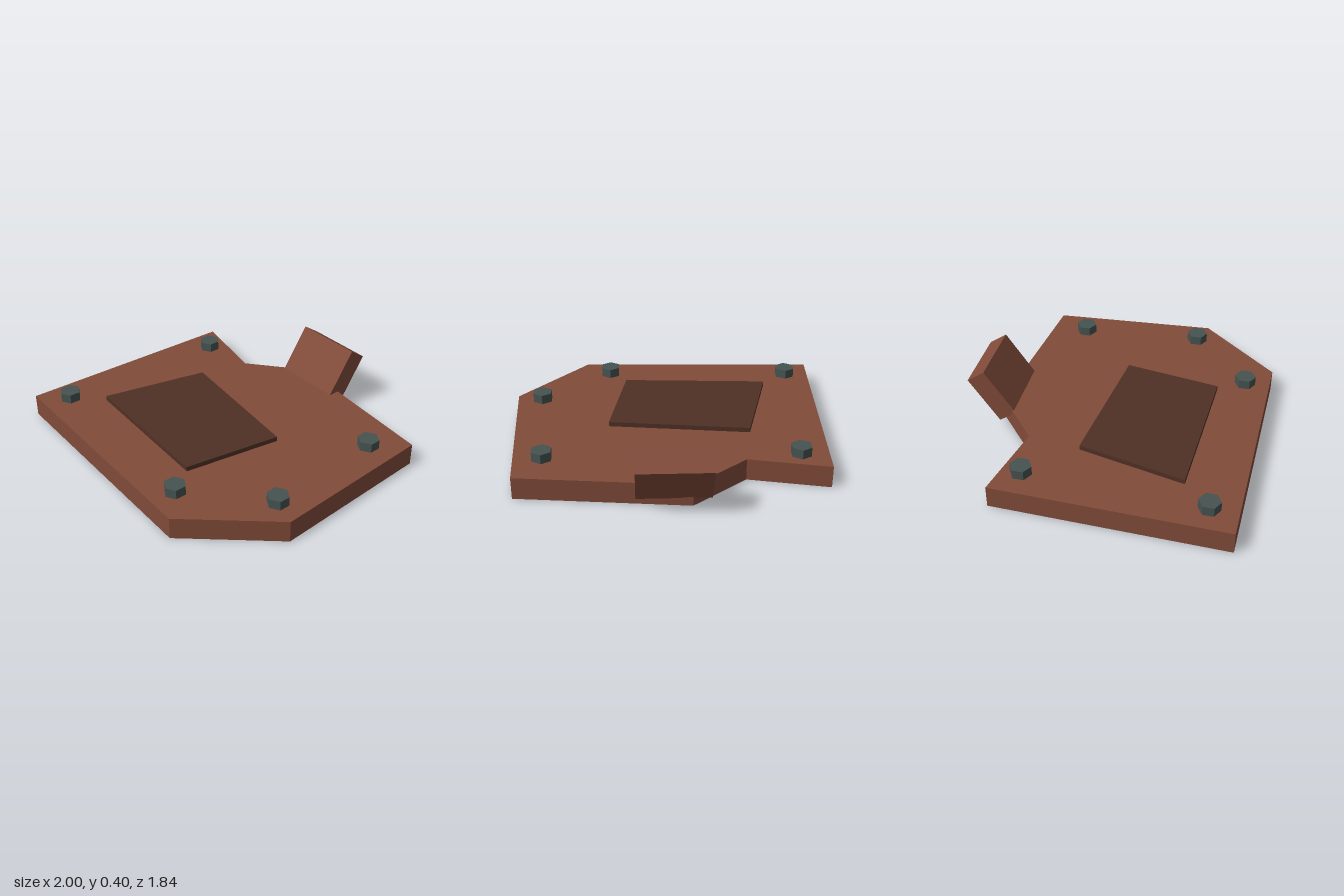
import * as THREE from 'three';

const plateBrown = new THREE.MeshStandardMaterial({ name: 'rust brown', color: 0x804b39 });
const panelBrown = new THREE.MeshStandardMaterial({ name: 'dark brown', color: 0x4f3025 });
const boltGrey = new THREE.MeshStandardMaterial({ name: 'blue grey steel', color: 0x455351 });

const PLATE_TOP = 0.14;

// Flat slab from an outline of [x, z] points, between two heights
function slab(name, outline, bottom, top, material) {
  const shape = new THREE.Shape(outline.map(([x, z]) => new THREE.Vector2(x, z)));
  const geometry = new THREE.ExtrudeGeometry(shape, { depth: top - bottom, bevelEnabled: false });
  geometry.rotateX(Math.PI / 2).translate(0, top, 0);
  const mesh = new THREE.Mesh(geometry, material);
  mesh.name = name;
  return mesh;
}

export function createModel() {
  const model = new THREE.Group();
  model.name = 'boltedScrapPlate';

  // Irregular base plate with a notch in the back edge
  model.add(slab('basePlate', [
    [-0.945, -0.57], [-0.445, -0.464], [-0.11, -0.739], [0.94, -0.628],
    [1, 0.425], [0.555, 0.922], [-1, 0.869],
  ], 0, PLATE_TOP, plateBrown));

  // Raised dark patch
  model.add(slab('patchPanel', [
    [-0.5, -0.131], [0.385, -0.02], [0.278, 0.59], [-0.665, 0.535],
  ], PLATE_TOP, 0.17, panelBrown));

  // Bent tab leaning backwards
  const tab = new THREE.Mesh(new THREE.BoxGeometry(0.444, 0.34, 0.133), plateBrown);
  tab.name = 'bentTab';
  tab.position.set(0, 0.226, -0.771);
  tab.rotation.x = -0.6;
  model.add(tab);

  // Hexagonal bolt heads
  const boltGeometry = new THREE.CylinderGeometry(0.067, 0.067, 0.06, 6).toNonIndexed();
  boltGeometry.computeVertexNormals();
  const bolts = new THREE.Group();
  bolts.name = 'bolts';
  for (const [x, z] of [[-0.778, -0.41], [0.778, -0.41], [0.833, 0.37], [0.389, 0.757], [-0.833, 0.702]]) {
    const bolt = new THREE.Mesh(boltGeometry, boltGrey);
    bolt.name = 'bolt';
    bolt.position.set(x, PLATE_TOP + 0.03, z);
    bolts.add(bolt);
  }
  model.add(bolts);

  return model;
}
